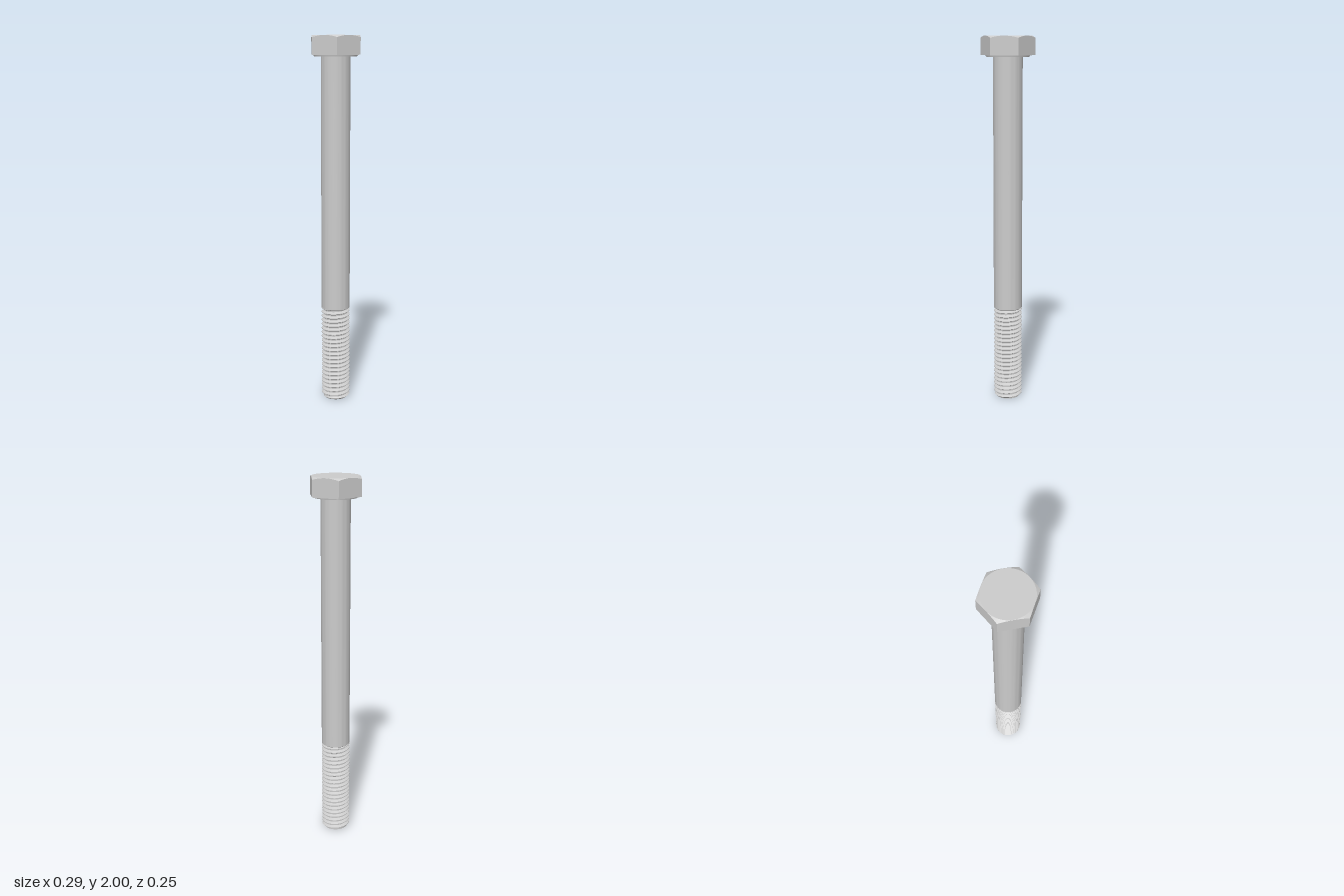
import * as THREE from 'three';
import { toCreasedNormals } from 'three/addons/utils/BufferGeometryUtils.js';

const HEIGHT = 2, HEAD_BOTTOM = 1.9, FLAT = 0.126; // FLAT: centre to a flat of the hexagon
const RADIUS = 0.078, ROOT = 0.064, THREAD_TOP = 0.525, PITCH = 0.0236;

// Closed surface around y: point(angle, row) returns [radius, y], rows run upwards on the outside
function around(cols, rows, point, crease) {
  const pos = [], index = [];
  for (let j = 0; j <= rows; j++) {
    for (let i = 0; i <= cols; i++) {
      const a = ((i % cols) / cols) * Math.PI * 2;
      const [r, y] = point(i === cols ? Math.PI * 2 : a, j);
      pos.push(r * Math.cos(a), y, -r * Math.sin(a));
      if (i < cols && j < rows) {
        const p = j * (cols + 1) + i, q = p + cols + 1;
        index.push(p, p + 1, q, p + 1, q + 1, q);
      }
    }
  }
  const geo = new THREE.BufferGeometry();
  geo.setAttribute('position', new THREE.Float32BufferAttribute(pos, 3));
  geo.setIndex(index);
  return toCreasedNormals(geo, crease);
}

export function createModel() {
  const bolt = new THREE.Group();
  bolt.name = 'hexBolt';
  const material = new THREE.MeshStandardMaterial({ color: 0xcccccc });
  const add = (name, geometry) => {
    const mesh = new THREE.Mesh(geometry, material);
    mesh.name = name;
    bolt.add(mesh);
    return mesh;
  };

  // Hexagonal head; a 30 degree conical chamfer cuts the top corners into arcs
  const sector = Math.PI / 3;
  add('head', around(96, 4, (a, row) => {
    const r = FLAT / Math.cos((a % sector) - sector / 2);
    const inner = FLAT - 0.0008;
    return [
      [0, HEAD_BOTTOM],
      [r, HEAD_BOTTOM],
      [r, HEIGHT - (r - inner) * Math.tan(Math.PI / 6)],
      [inner, HEIGHT],
      [0, HEIGHT],
    ][row];
  }, 0.35));

  // Round bearing face under the head
  const washer = add('washerFace', new THREE.CylinderGeometry(0.117, 0.115, 0.008, 64));
  washer.position.y = HEAD_BOTTOM - 0.004;

  // Plain shank, slightly chamfered where the thread begins
  const shank = [[0, THREAD_TOP - 0.005], [0.072, THREAD_TOP - 0.005], [RADIUS, THREAD_TOP], [RADIUS, HEAD_BOTTOM]];
  add('shank', around(64, 3, (a, row) => shank[row], 0.5));

  // Right-handed helical thread: root flat, flank, crest flat, flank for each turn
  const profile = [[0, ROOT], [0.25, ROOT], [0.5625, RADIUS], [0.6875, RADIUS]];
  const turns = Math.ceil(THREAD_TOP / PITCH) + 1;
  add('thread', around(48, turns * 4, (a, row) => {
    const [step, r] = profile[row % 4];
    const turn = Math.floor(row / 4) - 1 + step + a / (Math.PI * 2);
    const y = THREE.MathUtils.clamp(turn * PITCH, 0, THREAD_TOP);
    return [Math.min(r, ROOT + y), y]; // tapered lead-in at the tip
  }, 0.5));

  // Flat tip
  const tip = add('tip', new THREE.CircleGeometry(ROOT, 48));
  tip.rotation.x = Math.PI / 2;

  return bolt;
}
